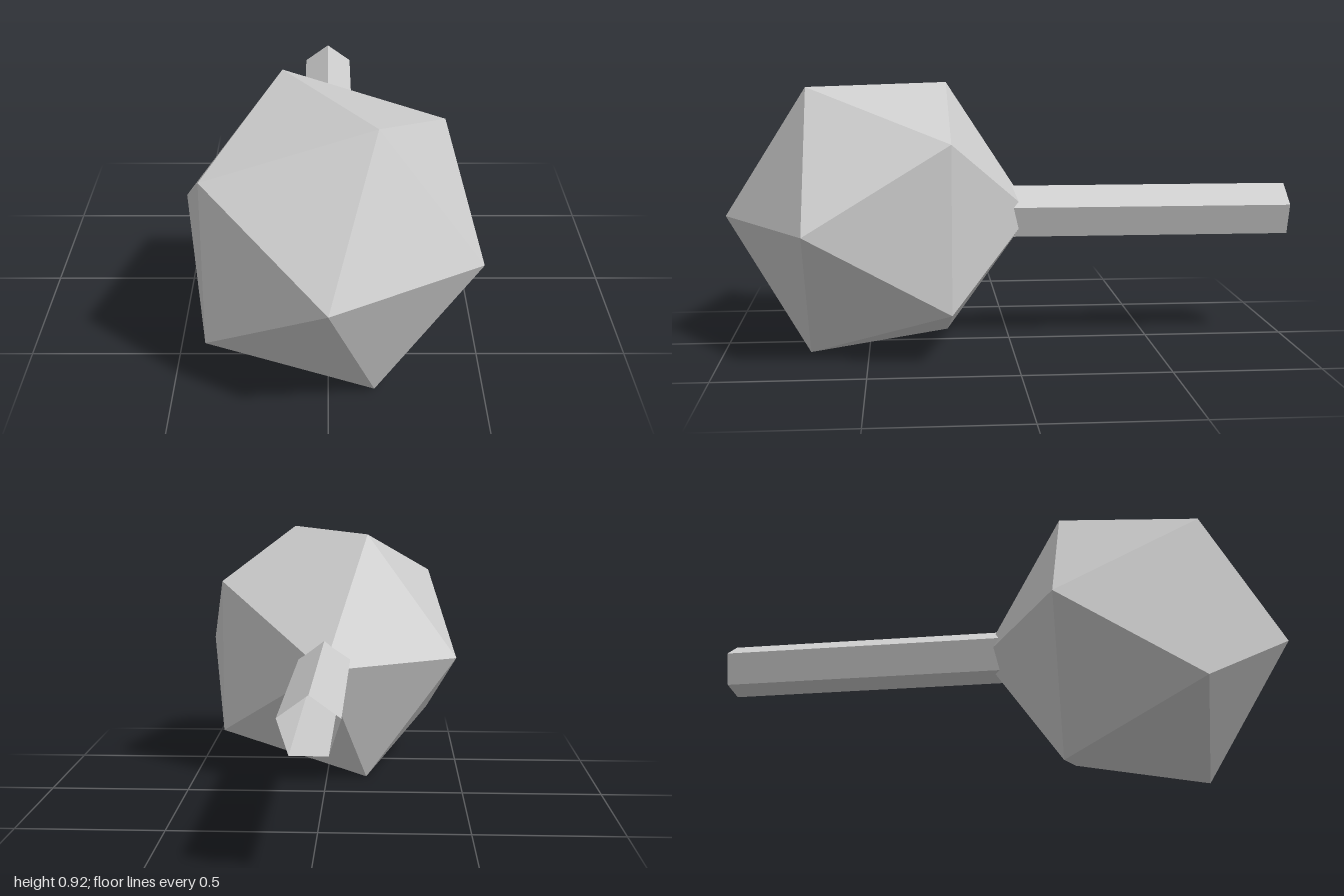
import * as THREE from 'three';

export function createModel() {
  const model = new THREE.Group();
  const grey = new THREE.MeshStandardMaterial({ color: 0xcccccc, flatShading: true, side: THREE.DoubleSide });
  grey.name = 'light grey';
  const centreY = 0.46;

  const add = (name, geometry, z) => {
    const mesh = new THREE.Mesh(geometry, grey);
    mesh.name = name;
    mesh.position.set(0, centreY, z);
    model.add(mesh);
  };

  // Twenty-sided head, turned so one corner points forward and a ring corner points to +x
  const head = new THREE.IcosahedronGeometry(0.54, 0);
  head.rotateX(Math.atan(2 / (1 + Math.sqrt(5))));
  head.rotateZ(Math.PI / 2);
  add('head', head, 0.46);

  // Five-sided hollow handle, open at the back, with one edge on top
  const front = 0.1, back = -1;
  const handle = new THREE.CylinderGeometry(0.097, 0.097, front - back, 5, 1, true);
  handle.rotateX(-Math.PI / 2);
  add('handle', handle, (front + back) / 2);

  return model;
}
